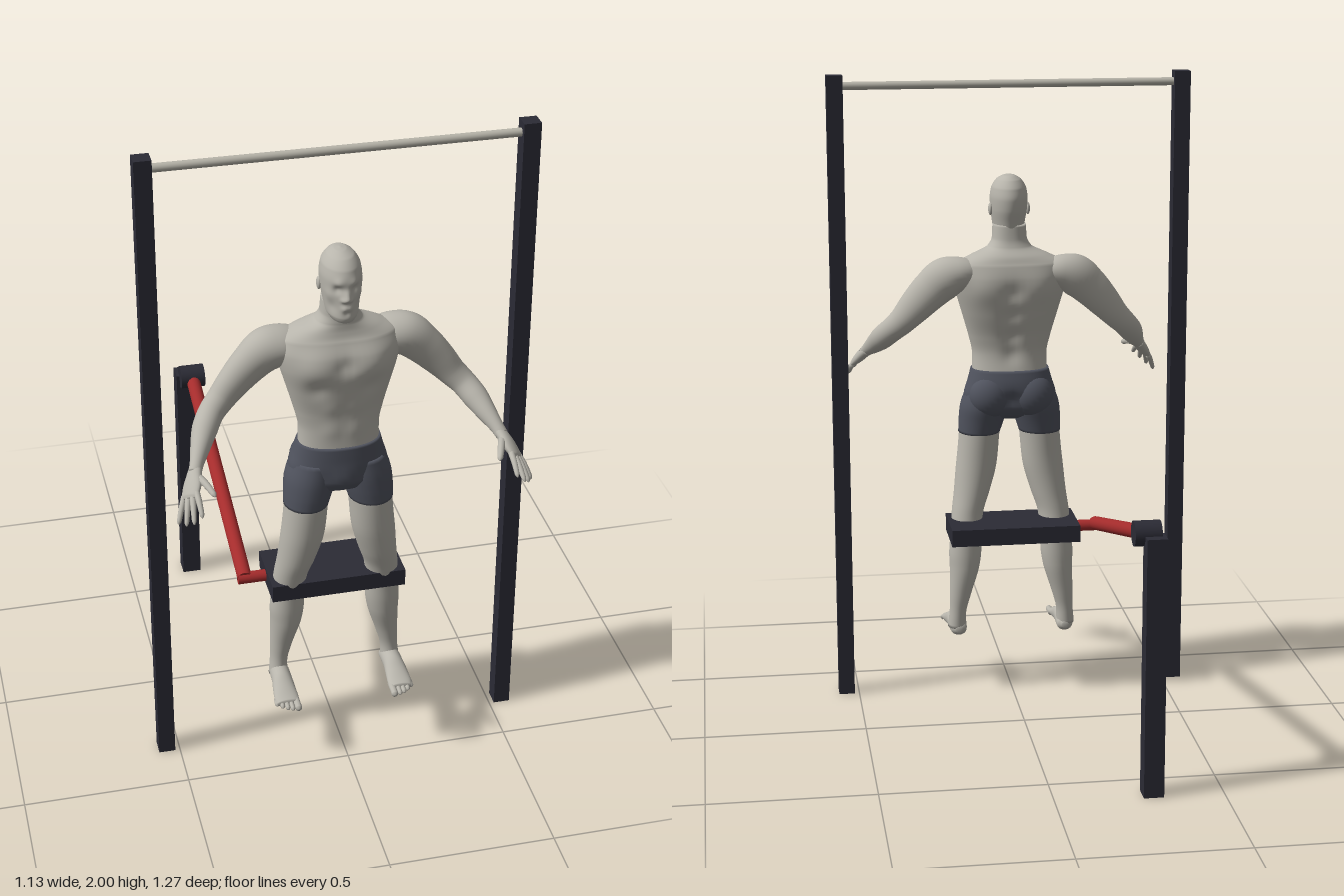
import * as THREE from 'three';

const paint = (name, color) => Object.assign(new THREE.MeshStandardMaterial({ color }), { name });
const V = (x, y, z) => new THREE.Vector3(x, y, z);

// Smooth closed skin through elliptical sections [x, y, z, a, b].
// axis 'y' or 'z' keeps the sections square to that axis; a Vector3 is the "up" of a free path.
// bumps [x, y, z, radius, push] swell or hollow the skin on both sides.
function loft(rows, { axis = 'y', steps = 5, sides = 24, power = 1, bumps = [] } = {}) {
  const centre = new THREE.CatmullRomCurve3(rows.map(r => V(r[0], r[1], r[2])));
  const size = new THREE.CatmullRomCurve3(rows.map(r => V(r[3], r[4], 0)));
  const n = (rows.length - 1) * steps;
  const pos = [], idx = [];
  for (let i = 0; i <= n; i++) {
    const c = centre.getPoint(i / n), s = size.getPoint(i / n);
    let u = V(1, 0, 0), v = axis === 'y' ? V(0, 0, 1) : V(0, 1, 0);
    if (axis.isVector3) {
      const t = centre.getTangent(i / n);
      u = t.clone().cross(axis).normalize();
      v = u.clone().cross(t);
    }
    for (let j = 0; j < sides; j++) {
      const a = j / sides * Math.PI * 2;
      const cs = Math.cos(a), sn = Math.sin(a);
      const p = c.clone()
        .addScaledVector(u, s.x * Math.sign(cs) * Math.abs(cs) ** power)
        .addScaledVector(v, s.y * Math.sign(sn) * Math.abs(sn) ** power);
      const out = p.clone().sub(c).normalize();
      let push = 0;
      for (const [x, y, z, r, h] of bumps) {
        const d2 = (Math.abs(p.x) - x) ** 2 + (p.y - y) ** 2 + (p.z - z) ** 2;
        push += h * Math.exp(-d2 / (r * r));
      }
      pos.push(...p.addScaledVector(out, push).toArray());
      if (i < n) {
        const k = i * sides + j, m = i * sides + (j + 1) % sides;
        idx.push(k, k + sides, m, m, k + sides, m + sides);
      }
    }
  }
  // end caps
  const first = (n + 1) * sides;
  pos.push(...rows[0].slice(0, 3), ...rows[rows.length - 1].slice(0, 3));
  for (let j = 0; j < sides; j++) {
    const m = (j + 1) % sides;
    idx.push(first, j, m, first + 1, n * sides + m, n * sides + j);
  }
  // turn the faces outward
  const at = k => V(pos[k * 3], pos[k * 3 + 1], pos[k * 3 + 2]).sub(centre.points[0]);
  let volume = 0;
  for (let k = 0; k < idx.length; k += 3) volume += at(idx[k]).dot(at(idx[k + 1]).cross(at(idx[k + 2])));
  if (volume < 0) idx.reverse();
  const g = new THREE.BufferGeometry();
  g.setAttribute('position', new THREE.Float32BufferAttribute(pos, 3));
  g.setIndex(idx);
  g.computeVertexNormals();
  return g;
}

// Sections centred on x = 0 given as [y, halfWidth, zBack, zFront]
const trunk = rows => rows.map(([y, w, b, f]) => [0, y, (b + f) / 2, w, (f - b) / 2]);

export function createModel() {
  const dark = paint('dark steel', 0x2b2b35), steel = paint('bare steel', 0xb8b5aa);
  const red = paint('red steel', 0xa52c2c), skin = paint('skin', 0xb8b5ac), cloth = paint('shorts cloth', 0x50535e);
  const model = new THREE.Group();
  model.name = 'pullUpStation';
  const figure = new THREE.Group();
  figure.name = 'figure';
  model.add(figure);
  const add = (name, geo, mat, parent = model) => {
    const m = new THREE.Mesh(geo, mat);
    m.name = name;
    parent.add(m);
    return m;
  };
  const box = (name, mat, x0, x1, y0, y1, z0, z1) =>
    add(name, new THREE.BoxGeometry(x1 - x0, y1 - y0, z1 - z0), mat)
      .position.set((x0 + x1) / 2, (y0 + y1) / 2, (z0 + z1) / 2);
  const rod = (name, mat, a, b, r) => {
    const m = add(name, new THREE.CylinderGeometry(r, r, a.distanceTo(b), 24), mat);
    m.position.copy(a).lerp(b, 0.5);
    m.quaternion.setFromUnitVectors(V(0, 1, 0), b.clone().sub(a).normalize());
  };
  const ball = (name, mat, x, y, z, rx, ry, rz) => {
    const m = add(name, new THREE.SphereGeometry(1, 24, 16), mat, figure);
    m.position.set(x, y, z);
    m.scale.set(rx, ry, rz);
  };

  // Frame, swing arm and platform
  for (const s of [-1, 1]) box('framePost', dark, s * 0.54 - 0.025, s * 0.54 + 0.025, 0, 2, 0.303, 0.353);
  rod('pullUpBar', steel, V(-0.52, 1.967, 0.328), V(0.52, 1.967, 0.328), 0.0125);
  box('rearPost', dark, -0.32, -0.26, 0, 0.785, -0.637, -0.577);
  rod('pivot', dark, V(-0.31, 0.785, -0.57), V(-0.232, 0.785, -0.57), 0.037);
  rod('swingArm', red, V(-0.27, 0.785, -0.57), V(-0.27, 0.557, 0.27), 0.022);
  rod('crossArm', red, V(-0.29, 0.553, 0.265), V(-0.2, 0.553, 0.265), 0.018);
  box('platform', dark, -0.205, 0.205, 0.526, 0.58, 0.175, 0.372);

  // Torso and neck
  add('torso', loft(trunk([
    [1.05, 0.12, 0.264, 0.416], [1.12, 0.119, 0.274, 0.412], [1.18, 0.132, 0.268, 0.412],
    [1.25, 0.152, 0.25, 0.422], [1.32, 0.172, 0.238, 0.428], [1.37, 0.182, 0.238, 0.418],
    [1.41, 0.172, 0.246, 0.402], [1.435, 0.125, 0.258, 0.393], [1.46, 0.07, 0.278, 0.39],
    [1.485, 0.055, 0.286, 0.39], [1.53, 0.052, 0.29, 0.395],
  ]), {
    sides: 64, steps: 8, power: 0.88, bumps: [
      [0.075, 1.35, 0.42, 0.055, 0.014], [0, 1.34, 0.43, 0.025, -0.008], [0.08, 1.27, 0.41, 0.03, -0.008],
      [0.035, 1.2, 0.41, 0.03, 0.004], [0.035, 1.13, 0.41, 0.03, 0.004],
      [0.085, 1.34, 0.245, 0.05, 0.009], [0, 1.32, 0.24, 0.03, -0.01], [0, 1.25, 0.25, 0.03, -0.01],
      [0, 1.18, 0.265, 0.03, -0.01], [0, 1.12, 0.27, 0.03, -0.008],
    ],
  }), skin, figure);

  // Head with sculpted face
  add('head', loft(trunk([
    [1.478, 0.02, 0.34, 0.4], [1.488, 0.036, 0.31, 0.432], [1.505, 0.046, 0.295, 0.44],
    [1.54, 0.052, 0.284, 0.438], [1.575, 0.057, 0.273, 0.436], [1.61, 0.059, 0.269, 0.437],
    [1.645, 0.054, 0.277, 0.426], [1.67, 0.038, 0.297, 0.402], [1.682, 0.018, 0.32, 0.372], [1.685, 0.002, 0.346, 0.35],
  ]), {
    sides: 80, steps: 9, bumps: [
      [0.024, 1.592, 0.425, 0.013, -0.009], [0.022, 1.612, 0.43, 0.013, 0.004],
      [0, 1.582, 0.437, 0.011, 0.008], [0, 1.567, 0.437, 0.011, 0.016], [0.011, 1.562, 0.435, 0.007, 0.006],
      [0, 1.536, 0.438, 0.012, 0.005], [0.01, 1.536, 0.438, 0.009, 0.003], [0, 1.522, 0.438, 0.009, -0.004],
      [0.035, 1.535, 0.41, 0.02, -0.004], [0.04, 1.57, 0.405, 0.018, 0.003],
    ],
  }), skin, figure);

  // Seat of the shorts
  add('shortsSeat', loft(trunk([
    [1.07, 0.124, 0.261, 0.42], [1.03, 0.135, 0.25, 0.422], [0.99, 0.147, 0.247, 0.422],
    [0.95, 0.148, 0.255, 0.42], [0.92, 0.11, 0.28, 0.405], [0.905, 0.05, 0.31, 0.38],
  ]), { sides: 48, power: 0.9, bumps: [[0, 0.98, 0.245, 0.025, -0.012], [0, 0.965, 0.425, 0.035, 0.008]] }), cloth, figure);

  for (const s of [-1, 1]) {
    const side = rows => rows.map(([x, ...rest]) => [x * s, ...rest]);
    const limb = (name, rows, options, mat = skin) => add(name, loft(side(rows), options), mat, figure);
    ball('ear', skin, s * 0.059, 1.577, 0.342, 0.007, 0.02, 0.013);
    ball('buttock', cloth, s * 0.067, 0.985, 0.295, 0.068, 0.07, 0.057);

    // Legs
    limb('shortsLeg', [
      [0.07, 1.01, 0.335, 0.068, 0.078], [0.082, 0.95, 0.338, 0.077, 0.083],
      [0.091, 0.9, 0.344, 0.073, 0.078], [0.098, 0.86, 0.347, 0.067, 0.073],
    ], {}, cloth);
    limb('leg', [
      [0.095, 0.89, 0.346, 0.066, 0.071], [0.098, 0.85, 0.347, 0.065, 0.071], [0.108, 0.75, 0.345, 0.065, 0.067],
      [0.125, 0.66, 0.336, 0.057, 0.061], [0.139, 0.6, 0.325, 0.051, 0.055], [0.145, 0.54, 0.315, 0.05, 0.052],
      [0.149, 0.47, 0.311, 0.052, 0.052], [0.153, 0.41, 0.308, 0.047, 0.049], [0.166, 0.33, 0.304, 0.035, 0.037],
      [0.175, 0.265, 0.305, 0.027, 0.031], [0.178, 0.215, 0.31, 0.029, 0.034],
    ], { sides: 32 });
    limb('foot', [
      [0.174, 0.211, 0.275, 0.01, 0.01], [0.174, 0.212, 0.287, 0.025, 0.021], [0.176, 0.222, 0.32, 0.03, 0.032],
      [0.177, 0.222, 0.36, 0.031, 0.032], [0.178, 0.213, 0.4, 0.035, 0.023], [0.178, 0.205, 0.435, 0.037, 0.015],
      [0.177, 0.202, 0.455, 0.034, 0.011],
    ], { axis: 'z' });
    for (let i = 0; i < 5; i++) {
      const x = 0.151 + i * 0.0142 + (i ? 0.003 : 0), r = i ? 0.007 : 0.0105, tip = 0.487 - 0.002 * i * i;
      limb('toe', [
        [x, 0.202, 0.43, r, r], [x, 0.201, tip - 0.02, r, r * 0.9],
        [x, 0.199, tip - 0.006, r, r], [x, 0.198, tip, r * 0.3, r * 0.3],
      ], { axis: 'z', sides: 10, steps: 3 });
    }

    // Arms
    const up = V(0, 1, 0.3);
    limb('arm', [
      [0.1, 1.375, 0.315, 0.045, 0.035], [0.155, 1.378, 0.312, 0.062, 0.054], [0.205, 1.366, 0.312, 0.062, 0.066],
      [0.25, 1.33, 0.315, 0.053, 0.062], [0.3, 1.278, 0.32, 0.045, 0.054], [0.34, 1.232, 0.328, 0.04, 0.044],
      [0.372, 1.2, 0.345, 0.038, 0.039], [0.398, 1.17, 0.38, 0.037, 0.038], [0.42, 1.14, 0.425, 0.029, 0.031],
      [0.44, 1.112, 0.47, 0.02, 0.021], [0.449, 1.098, 0.49, 0.019, 0.017],
    ], { axis: up, sides: 32 });

    // Hands
    const palmUp = V(0.7 * s, 0.7, 0.13);
    limb('palm', [
      [0.44, 1.11, 0.467, 0.018, 0.016], [0.452, 1.094, 0.495, 0.025, 0.017],
      [0.463, 1.077, 0.523, 0.033, 0.016], [0.474, 1.06, 0.547, 0.032, 0.012], [0.477, 1.055, 0.554, 0.024, 0.007],
    ], { axis: palmUp });
    const digit = (name, a, b, r) => {
      const at = (t, k, lift) => [
        a[0] + (b[0] - a[0]) * t, a[1] + (b[1] - a[1]) * t + lift, a[2] + (b[2] - a[2]) * t, r * k, r * k];
      limb(name, [at(0, 1.1, 0), at(0.45, 1, 0.006), at(0.9, 0.8, 0.002), at(1, 0.25, 0)],
        { axis: palmUp, sides: 10, steps: 3 });
    };
    [[0.455, 1.038, 0.63], [0.478, 1.018, 0.628], [0.497, 1.002, 0.608], [0.514, 0.99, 0.577]].forEach((tip, i) => {
      const t = (i - 1.5) * 0.25;
      digit('finger', [0.472 + 0.04 * t, 1.062 - 0.035 * t, 0.541 - 0.035 * t], tip, 0.0085);
    });
    digit('thumb', [0.445, 1.095, 0.505], [0.411, 1.08, 0.596], 0.0105);
  }
  return model;
}
